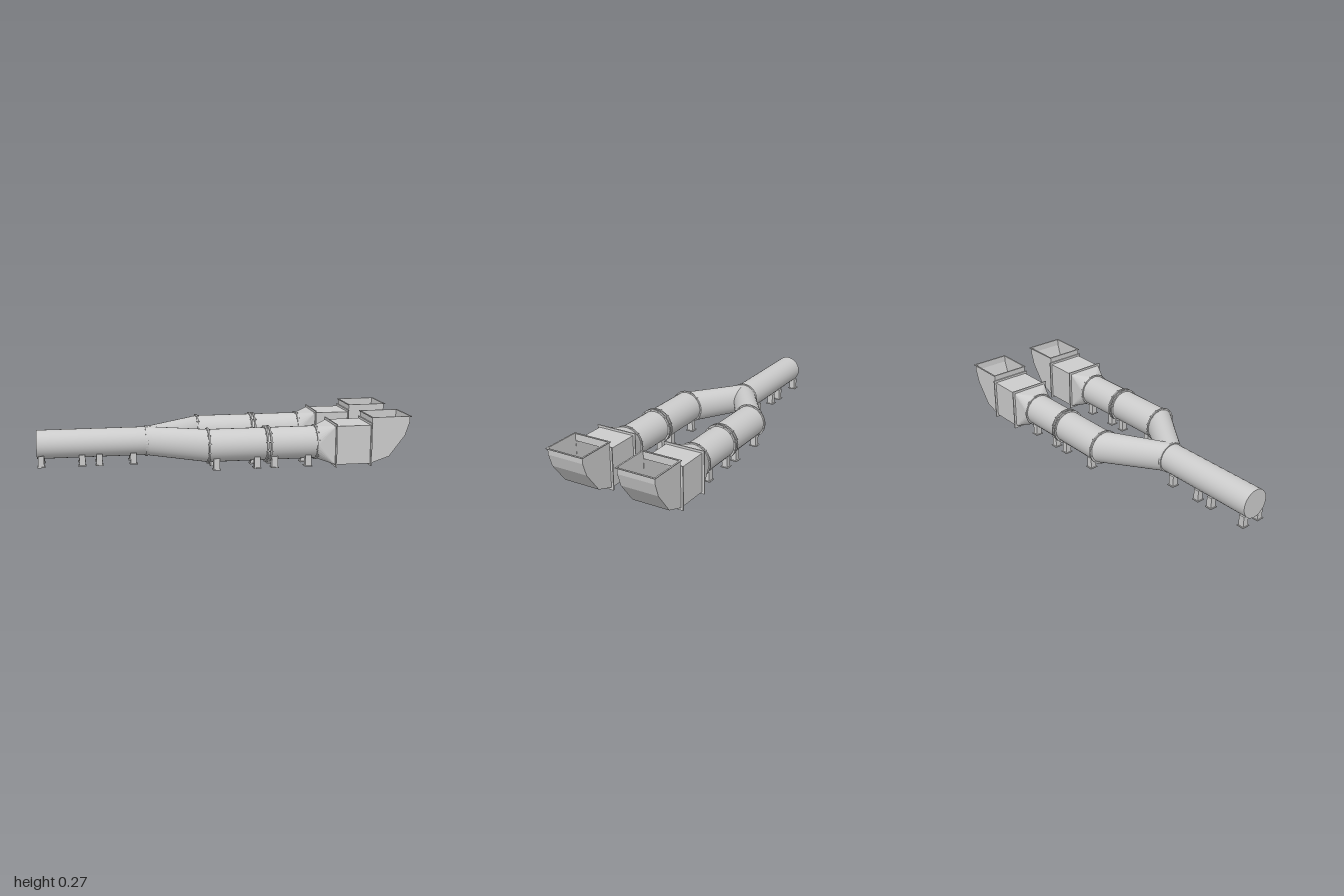
import * as THREE from 'three';

const SEG = 32;
const mat = new THREE.MeshStandardMaterial({ color: 0xcccccc, side: THREE.DoubleSide });
const flatMat = new THREE.MeshStandardMaterial({ color: 0xcccccc, side: THREE.DoubleSide, flatShading: true });

function add(parent, name, geo, material, x = 0, y = 0, z = 0) {
  const m = new THREE.Mesh(geo, material);
  m.name = name;
  m.position.set(x, y, z);
  parent.add(m);
  return m;
}

// Open skin through closed rings of [x, y, z] points
function loft(rings) {
  const n = rings[0].length, index = [];
  for (let i = 0; i < rings.length - 1; i++) {
    for (let j = 0; j < n; j++) {
      const a = i * n + j, b = i * n + (j + 1) % n;
      index.push(a, b, a + n, b, b + n, a + n);
    }
  }
  const g = new THREE.BufferGeometry();
  g.setAttribute('position', new THREE.Float32BufferAttribute(rings.flat(2), 3));
  g.setIndex(index);
  g.computeVertexNormals();
  return g;
}

// Circle in a plane of constant x
function circle(x, y, z, r) {
  return Array.from({ length: SEG }, (_, i) => {
    const a = (i / SEG) * Math.PI * 2;
    return [x, y + r * Math.cos(a), z + r * Math.sin(a)];
  });
}

// Cylinder along x from x0 to x1
function pipe(x0, x1, r, open) {
  return new THREE.CylinderGeometry(r, r, x1 - x0, SEG, 1, open)
    .rotateZ(Math.PI / 2).translate((x0 + x1) / 2, 0, 0);
}

// Flat rectangular frame in the xy plane
function frame(w, h, holeW, holeH, depth) {
  const rect = (P, a, b) => new P([[-a, -b], [a, -b], [a, b], [-a, b]]
    .map(([x, y]) => new THREE.Vector2(x / 2, y / 2)));
  const s = rect(THREE.Shape, w, h);
  s.holes.push(rect(THREE.Path, holeW, holeH));
  return new THREE.ExtrudeGeometry(s, { depth, bevelEnabled: false }).translate(0, 0, -depth / 2);
}

// Pair of posts on base plates beneath a pipe
function supportPair(parent, x, z, spread) {
  const g = new THREE.Group();
  g.name = 'pipeSupport';
  for (const s of [-1, 1]) {
    add(g, 'post', new THREE.BoxGeometry(0.032, 0.06, 0.032), flatMat, x, 0.035, z + s * spread);
    add(g, 'basePlate', new THREE.BoxGeometry(0.042, 0.004, 0.045), flatMat, x, 0.005, z + s * spread);
  }
  parent.add(g);
}

// Round flange made of one or more rings, with bolts through them
function roundFlange(parent, xs, y, z, r) {
  const g = new THREE.Group();
  g.name = 'roundFlange';
  g.position.set(0, y, z);
  for (const x of xs) add(g, 'flangeRing', pipe(x - 0.004, x + 0.004, r, false), flatMat);
  const x0 = xs[0] - 0.009, x1 = xs[xs.length - 1] + 0.009;
  for (let i = 0; i < 12; i++) {
    const a = ((i + 0.5) / 12) * Math.PI * 2, br = r - 0.004;
    add(g, 'bolt', new THREE.BoxGeometry(x1 - x0, 0.005, 0.005), flatMat,
      (x0 + x1) / 2, br * Math.cos(a), br * Math.sin(a));
  }
  parent.add(g);
}

function buildBranch(side) {
  const g = new THREE.Group();
  g.name = side > 0 ? 'frontBranch' : 'backBranch';
  const z = side * 0.205, cy = 0.123, r = 0.088, by = 0.12, half = 0.105;

  // Slanted arm of the fork
  add(g, 'forkArm', loft([circle(-0.41, 0.118, 0, 0.079), circle(-0.1, cy, z, r)]), mat);

  // Straight round pipe and its flanges
  add(g, 'branchPipe', pipe(-0.1, 0.495, r, true), mat, 0, cy, z);
  roundFlange(g, [-0.1], cy, z, 0.096);
  roundFlange(g, [0.212, 0.231], cy, z, 0.098);
  roundFlange(g, [0.488], cy, z, 0.096);
  for (const x of [-0.06, 0.16, 0.255, 0.44]) supportPair(g, x, z, 0.052);

  // Round-to-square transition: each quarter of the circle fans to a corner
  const round = [], square = [];
  for (let k = 0; k < 4; k++) {
    const c = Math.PI / 4 + k * Math.PI / 2;
    for (let i = 0; i <= 8; i++) {
      const a = (k + i / 8) * Math.PI / 2;
      round.push([0.49, cy + r * Math.cos(a), z + r * Math.sin(a)]);
      square.push([0.58, by + half * Math.sign(Math.cos(c)), z + half * Math.sign(Math.sin(c))]);
    }
  }
  add(g, 'transition', loft([round, square]), flatMat);

  // Square duct with end frames and a foot
  const section = (x) => [[1, 1], [-1, 1], [-1, -1], [1, -1]].map(([u, v]) => [x, by + u * half, z + v * half]);
  add(g, 'squareDuct', loft([section(0.58), section(0.775)]), flatMat);
  for (const x of [0.581, 0.776]) {
    add(g, 'ductFrame', frame(0.234, 0.234, 0.208, 0.208, 0.007).rotateY(Math.PI / 2), flatMat, x, by, z);
  }
  add(g, 'ductFoot', new THREE.BoxGeometry(0.042, 0.016, 0.045), flatMat, 0.655, 0.008, z);

  // Upturned outlet: outer wall points, inner wall stays at the duct
  const outer = [[0.775, 0.015], [0.88, 0.05], [0.967, 0.163], [0.99, 0.232], [0.992, 0.267]];
  const rings = outer.map(([x, y], i) => {
    const iy = i < 4 ? 0.225 : 0.267;
    return [[0.78, iy, z + half], [x, y, z + half], [x, y, z - half], [0.78, iy, z - half]];
  });
  add(g, 'outletElbow', loft(rings), flatMat);
  add(g, 'outletFrame', frame(0.224, 0.222, 0.206, 0.206, 0.004).rotateX(Math.PI / 2), flatMat, 0.888, 0.266, z);
  return g;
}

export function createModel() {
  const model = new THREE.Group();
  model.name = 'forkedDuct';

  // Main pipe with its supports and collar
  add(model, 'mainPipe', pipe(-1, -0.41, 0.078, false), mat, 0, 0.118, 0);
  add(model, 'mainCollar', pipe(-0.416, -0.404, 0.084, false), flatMat, 0, 0.118, 0);
  for (const x of [-0.978, -0.76, -0.668, -0.484]) supportPair(model, x, 0, 0.051);

  for (const side of [1, -1]) model.add(buildBranch(side));
  return model;
}
